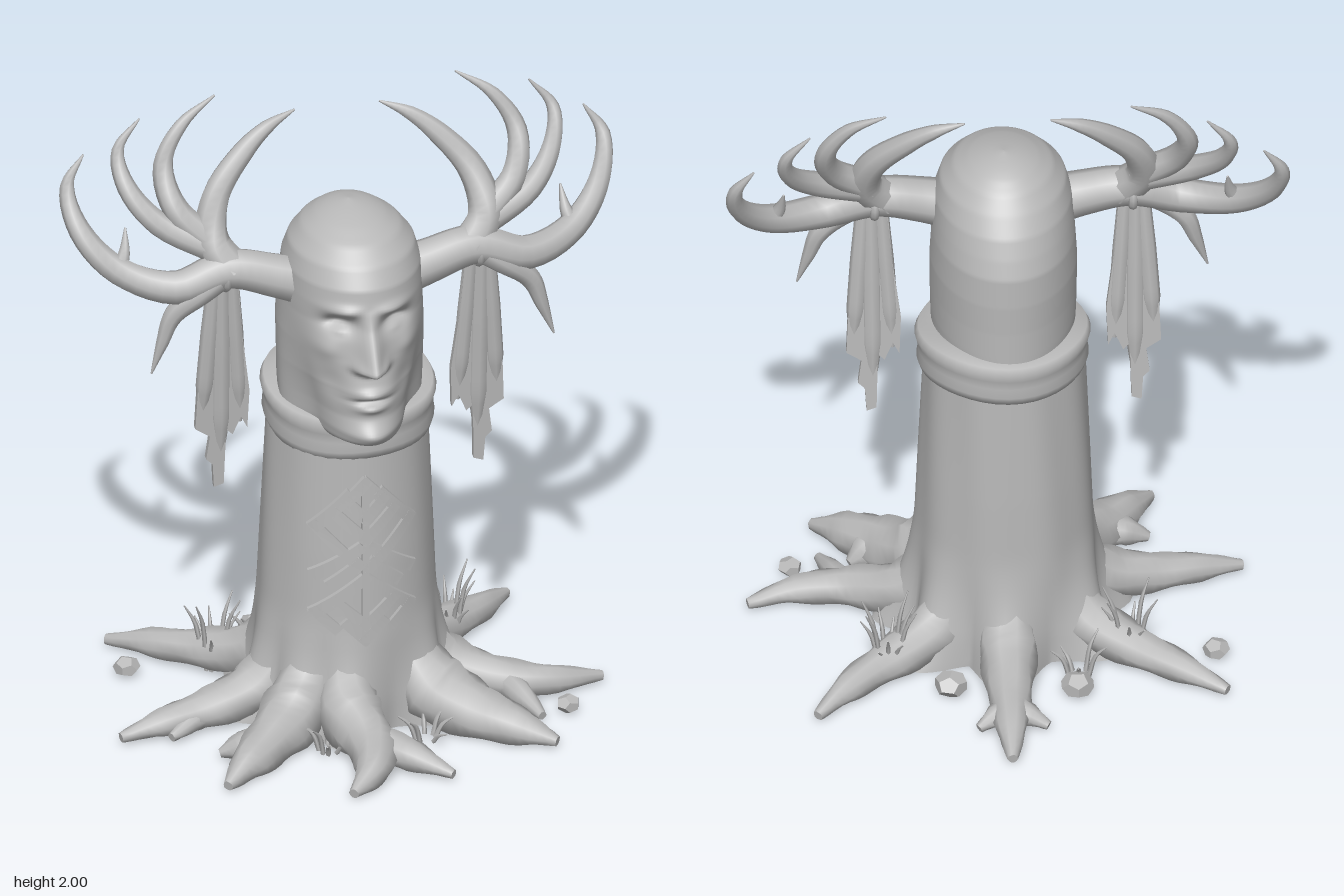
import * as THREE from 'three';

const stone = new THREE.MeshStandardMaterial({ color: 0xb8b8b8 });
stone.name = 'grey stone';

// Skin over a list of closed rings, with both ends capped
function loft(rings) {
  const pos = [], index = [], n = rings[0].length;
  const add = (ring) => { const s = pos.length / 3; ring.forEach((p) => pos.push(p.x, p.y, p.z)); return s; };
  rings.forEach(add);
  for (let i = 0; i < rings.length - 1; i++) {
    for (let j = 0; j < n; j++) {
      const a = i * n + j, b = i * n + (j + 1) % n;
      index.push(a, b, b + n, a, b + n, a + n);
    }
  }
  [rings[0], rings[rings.length - 1]].forEach((ring, end) => {
    const s = add(ring);
    const c = add([ring.reduce((v, p) => v.add(p), new THREE.Vector3()).divideScalar(n)]);
    for (let j = 0; j < n; j++) {
      const k = (j + 1) % n;
      if (end) index.push(s + j, s + k, c); else index.push(s + k, s + j, c);
    }
  });
  const g = new THREE.BufferGeometry();
  g.setAttribute('position', new THREE.Float32BufferAttribute(pos, 3));
  g.setIndex(index);
  g.computeVertexNormals();
  return g;
}

// Limb through points [x, y, z, radius]
function limb(pts, { ref = new THREE.Vector3(0, 0, 1), sides = 8, steps = 5, flat = 1, knob = 0, ground = false } = {}) {
  const curve = new THREE.CatmullRomCurve3(pts.map((p) => new THREE.Vector3(p[0], p[1], p[2])));
  const count = (pts.length - 1) * steps, rings = [];
  for (let i = 0; i <= count; i++) {
    const t = i / count, u = t * (pts.length - 1), k = Math.min(Math.floor(u), pts.length - 2);
    const r = THREE.MathUtils.lerp(pts[k][3], pts[k + 1][3], u - k);
    const c = curve.getPoint(t), T = curve.getTangent(t);
    const N = ref.clone().cross(T).normalize(), B = T.clone().cross(N);
    const ring = [];
    for (let j = 0; j < sides; j++) {
      const a = j / sides * Math.PI * 2, lump = r * (1 + knob * Math.sin(i * 1.1 + j * 2.3 + pts[0][0] * 20));
      const p = c.clone().addScaledVector(N, Math.cos(a) * lump).addScaledVector(B, Math.sin(a) * lump * flat);
      if (ground) p.y = Math.max(0.005, p.y);
      ring.push(p);
    }
    rings.push(ring);
  }
  return loft(rings);
}

// Interpolates rows [y, halfWidth, zFront, zBack]
function section(rows, y) {
  let k = 0;
  while (k < rows.length - 2 && y > rows[k + 1][0]) k++;
  const f = THREE.MathUtils.clamp((y - rows[k][0]) / (rows[k + 1][0] - rows[k][0]), 0, 1);
  return rows[k].map((v, i) => THREE.MathUtils.lerp(v, rows[k + 1][i], f));
}

const trunkRows = [[0, 0.27, 0.29, -0.23], [0.1, 0.272, 0.3, -0.235], [0.32, 0.272, 0.31, -0.235],
  [0.6, 0.26, 0.31, -0.23], [1.05, 0.24, 0.3, -0.215]];
const headRows = [[1, 0.215, 0.3, -0.2], [1.025, 0.216, 0.37, -0.2], [1.045, 0.217, 0.42, -0.2], [1.08, 0.218, 0.43, -0.2],
  [1.13, 0.22, 0.415, -0.2], [1.22, 0.222, 0.42, -0.2], [1.32, 0.222, 0.395, -0.203],
  [1.42, 0.216, 0.38, -0.2], [1.48, 0.212, 0.38, -0.18], [1.54, 0.207, 0.37, -0.155], [1.6, 0.19, 0.335, -0.115],
  [1.65, 0.15, 0.28, -0.075], [1.68, 0.105, 0.215, -0.035], [1.7, 0.058, 0.145, 0.01], [1.71, 0.002, 0.08, 0.07]];

// Main roots: tip x, tip z, thickness, sideways bend
const mainRoots = [[0.03, -0.72, 0.095, 0], [-0.64, -0.42, 0.085, 0], [0.6, -0.46, 0.085, 0.02], [0.77, 0.12, 0.085, 0.05],
  [0.55, 0.51, 0.12, 0.01], [-0.12, 0.71, 0.105, -0.06], [-0.48, 0.58, 0.11, 0], [-0.73, 0.21, 0.085, 0]];

const bump = (x, c, s) => Math.exp(-(((x - c) / s) ** 2));

// Relief of the face, as a forward push at (x, y)
function face(x, y) {
  const ax = Math.abs(x);
  const nose = THREE.MathUtils.clamp((1.48 - y) / 0.17, 0, 1) * THREE.MathUtils.smoothstep(y, 1.265, 1.305);
  return nose * (0.085 * bump(x, 0, 0.026 + 0.012 * nose) + 0.02 * bump(ax, 0.04, 0.016) * bump(y, 1.3, 0.025))
    - 0.045 * bump(ax, 0.085, 0.045) * bump(y, 1.425, 0.026) // eye sockets
    + 0.018 * bump(ax, 0.085, 0.026) * bump(y, 1.41, 0.014) // eyelids
    + 0.016 * bump(ax, 0.075, 0.05) * bump(y, 1.475, 0.018) // brow
    + 0.015 * bump(ax, 0.13, 0.035) * bump(y, 1.345, 0.035) // cheekbones
    - 0.018 * bump(ax, 0.11, 0.035) * bump(y, 1.23, 0.05) // cheek hollows
    + 0.016 * bump(x, 0, 0.045) * (bump(y, 1.212, 0.016) + bump(y, 1.165, 0.014)) // lips
    - 0.018 * bump(x, 0, 0.055) * bump(y, 1.188, 0.007) // mouth line
    + 0.02 * bump(x, 0, 0.06) * bump(y, 1.075, 0.03); // chin
}

// Upright body from rows, with a rule that shifts each point
function body(rows, count, sides, shape) {
  const rings = [];
  for (let i = 0; i <= count; i++) {
    const y = THREE.MathUtils.lerp(rows[0][0], rows[rows.length - 1][0], i / count);
    const [, w, zf, zb] = section(rows, y);
    const ring = [];
    for (let j = 0; j < sides; j++) {
      const a = j / sides * Math.PI * 2;
      const p = new THREE.Vector3(Math.sin(a) * w, y, (zf + zb) / 2 + Math.cos(a) * (zf - zb) / 2);
      shape(p, a);
      ring.push(p);
    }
    rings.push(ring);
  }
  return loft(rings);
}

// Root running down the trunk and out to its tip, bent sideways
function mainRoot([tipX, tipZ, w, bend]) {
  const reach = Math.hypot(tipX, tipZ - 0.04), dx = tipX / reach, dz = (tipZ - 0.04) / reach;
  const at = (r, y, radius, side = 0) => [dx * r - dz * side, y, 0.04 + dz * r + dx * side, radius];
  const out = (f) => THREE.MathUtils.lerp(0.3, reach, f);
  return [at(0.18, 0.24, 0.07), at(0.3, 0.1, w * 0.95), at(out(0.35), 0.055, w * 0.75, bend),
    at(out(0.7), 0.04, w * 0.52, bend), at(reach, 0.02, 0.016)];
}

// Side branch of a root
const forkRoot = (x, z, tipX, tipZ, w) =>
  [[x, 0.05, z, w], [(x + tipX) / 2, 0.04, (z + tipZ) / 2, w * 0.75], [tipX, 0.02, tipZ, 0.014]];

// Antler tine through points [x, y]: leans back as it rises, tapers to its tip
function tine(side, radius, pts) {
  return limb(pts.map(([x, y], i) => {
    const rise = y - 1.5, lean = rise > 0 ? 0.5 : 0.18;
    return [side * x, y, 0.13 - lean * rise - Math.max(0, x - 0.5) * 0.4, 0.003 + radius * (1 - i / (pts.length - 1)) ** 0.7];
  }));
}

export function createModel() {
  const model = new THREE.Group();
  const part = (name, geometry, parent = model) => {
    const m = new THREE.Mesh(geometry, stone);
    m.name = name;
    parent.add(m);
    return m;
  };
  const group = (name) => { const g = new THREE.Group(); g.name = name; model.add(g); return g; };

  // Trunk with bark ridges, flaring into each root
  const rootAngles = mainRoots.map(([x, z]) => Math.atan2(x, z - 0.04));
  part('trunk', body(trunkRows, 40, 96, (p, a) => {
    const lobe = rootAngles.reduce((m, r) => Math.max(m, bump(Math.acos(THREE.MathUtils.clamp(Math.cos(a - r), -1, 1)), 0, 0.3)), 0);
    const k = 1 + 0.012 * Math.sin(9 * a + 2 * p.y) * (1 - Math.max(0, Math.cos(a)))
      + 0.48 * lobe * Math.max(0, 1 - p.y / 0.42) ** 2;
    p.x *= k;
    p.z = 0.04 + (p.z - 0.04) * k;
  }));

  // Head with face, narrowing to the jaw
  part('head', body(headRows, 100, 110, (p, a) => {
    const front = Math.cos(a), jaw = 1 - THREE.MathUtils.smoothstep(p.y, 1, 1.46);
    p.x *= 1 - 0.33 * jaw * THREE.MathUtils.smoothstep(p.z, 0.1, 0.27);
    if (front > 0) p.z += face(p.x, p.y) * Math.min(1, front * 2.5);
  }));

  // Tilted collar around the neck
  const collar = [[-0.03, 0.955], [0.006, 0.958], [0.015, 0.985], [0.01, 1.015], [0.014, 1.045], [0.021, 1.07], [0.01, 1.092], [-0.04, 1.094]];
  part('collar', loft(collar.map(([d, y]) => Array.from({ length: 40 }, (_, j) => {
    const a = j / 40 * Math.PI * 2;
    return new THREE.Vector3(0.006 + Math.sin(a) * (0.245 + d), y - 0.025 * Math.cos(a) + 0.006 * Math.sin(3 * a + 1), 0.04 + Math.cos(a) * (0.257 + d));
  }))));

  // Carved lattice bent onto the trunk front
  const carving = group('carving');
  const bar = (x1, y1, x2, y2, w = 0.035) => {
    const g = new THREE.BoxGeometry(Math.hypot(x2 - x1, y2 - y1) + w * 0.8, w, 0.03, 8, 1, 1);
    g.rotateZ(Math.atan2(y2 - y1, x2 - x1));
    g.translate((x1 + x2) / 2, (y1 + y2) / 2, 0);
    const p = g.attributes.position;
    for (let i = 0; i < p.count; i++) {
      const [, hw, zf, zb] = section(trunkRows, p.getY(i));
      p.setZ(i, p.getZ(i) + (zf + zb) / 2 + (zf - zb) / 2 * Math.sqrt(1 - (p.getX(i) / hw) ** 2));
    }
    g.computeVertexNormals();
    part('carvedBar', g, carving);
  };
  bar(0, 0.33, 0, 0.86, 0.022);
  for (const s of [-1, 1]) {
    bar(0, 0.86, s * 0.055, 0.8);
    bar(s * 0.055, 0.8, 0, 0.74);
    bar(s * 0.05, 0.82, s * 0.145, 0.71);
    bar(s * 0.145, 0.71, s * 0.02, 0.58);
    bar(0, 0.67, s * 0.09, 0.76);
    bar(s * 0.02, 0.64, s * 0.145, 0.55);
    bar(s * 0.1, 0.52, s * 0.02, 0.59);
    bar(0, 0.54, s * 0.145, 0.42);
    bar(s * 0.145, 0.42, s * 0.09, 0.37);
    bar(s * 0.09, 0.46, 0, 0.38);
    bar(0, 0.33, s * 0.055, 0.385);
  }

  // Roots spreading over the ground
  const roots = group('roots');
  const addRoot = (pts) => part('root', limb(pts, { ref: new THREE.Vector3(0, 1, 0), sides: 10, knob: 0.08, ground: true }), roots);
  mainRoots.forEach((r) => addRoot(mainRoot(r)));
  addRoot(forkRoot(0.02, -0.5, 0.12, -0.56, 0.045));
  addRoot(forkRoot(0.02, -0.5, -0.09, -0.56, 0.045));
  addRoot(forkRoot(0.46, 0.12, 0.54, 0.34, 0.05));
  addRoot(forkRoot(0.36, 0.35, 0.45, 0.3, 0.07));
  addRoot(forkRoot(0, 0.46, 0.2, 0.65, 0.065));
  addRoot(forkRoot(-0.33, 0.38, -0.46, 0.37, 0.06));
  addRoot(forkRoot(-0.42, 0.13, -0.58, 0.24, 0.045));

  // Antlers and hanging cloth on each side
  const outline = [[0.35, 1.5], [0.335, 1.3], [0.31, 1.1], [0.315, 0.97], [0.335, 1.01], [0.36, 0.95], [0.38, 0.97], [0.385, 0.78],
    [0.415, 0.77], [0.42, 0.85], [0.44, 0.87], [0.43, 0.95], [0.475, 0.98], [0.47, 1.1], [0.445, 1.25], [0.43, 1.5]];
  for (const s of [1, -1]) {
    const antler = group(s > 0 ? 'leftAntler' : 'rightAntler');
    part('beam', tine(s, 0.075, [[0.14, 1.47], [0.24, 1.5], [0.38, 1.53], [0.54, 1.485], [0.7, 1.52], [0.8, 1.62], [0.825, 1.74], [0.77, 1.83]]), antler);
    part('innerTine', tine(s, 0.058, [[0.36, 1.52], [0.42, 1.61], [0.395, 1.73], [0.3, 1.84], [0.22, 1.9], [0.13, 1.94]]), antler);
    part('topTine', tine(s, 0.045, [[0.41, 1.6], [0.52, 1.7], [0.545, 1.82], [0.48, 1.93], [0.37, 2]]), antler);
    part('outerTine', tine(s, 0.043, [[0.4, 1.58], [0.57, 1.655], [0.655, 1.75], [0.67, 1.85], [0.6, 1.94]]), antler);
    part('barb', tine(s, 0.025, [[0.7, 1.52], [0.68, 1.57], [0.67, 1.64]]), antler);
    part('lowerTine', tine(s, 0.046, [[0.38, 1.53], [0.47, 1.47], [0.55, 1.4], [0.585, 1.31], [0.62, 1.21]]), antler);
    const knot = part('clothKnot', new THREE.TorusGeometry(0.05, 0.014, 8, 16), antler);
    knot.position.set(s * 0.39, 1.52, 0.11);
    knot.rotation.y = Math.PI / 2;

    // Ragged cloth sheet, hanging slightly backwards
    const cloth = group(s > 0 ? 'leftCloth' : 'rightCloth');
    const sheet = new THREE.ExtrudeGeometry(new THREE.Shape(outline.map(([x, y]) => new THREE.Vector2(s * x, y))), { depth: 0.022, bevelEnabled: false });
    sheet.translate(0, -1.52, -0.011).rotateX(0.065).translate(0, 1.52, 0.115);
    part('clothSheet', sheet, cloth);

    // Folds: top x, bottom x, bottom y, width
    [[0.37, 0.335, 0.99, 0.026], [0.4, 0.395, 0.84, 0.03], [0.42, 0.455, 1, 0.028]].forEach(([x0, x1, y1, w]) => {
      const at = (f, r) => [s * THREE.MathUtils.lerp(x0, x1, f), THREE.MathUtils.lerp(1.52, y1, f), 0.115 - f * (1.52 - y1) * 0.065, r];
      part('clothFold', limb([at(0, w * 0.8), at(0.4, w), at(0.75, w), at(1, 0.006)], { flat: 0.8 }), cloth);
    });
  }

  // Loose rocks
  [[-0.19, -0.38, 0.052], [0.19, -0.35, 0.052], [-0.62, -0.22, 0.042], [0.63, 0.29, 0.038]].forEach(([x, z, r], i) => {
    const rock = part('rock', new THREE.DodecahedronGeometry(r));
    rock.scale.y = 0.75;
    rock.position.set(x, r * 0.7, z);
    rock.rotation.y = i * 1.3;
  });

  // Grass tufts between the roots: x, z, height, blades
  const grass = group('grass');
  [[-0.36, -0.2, 0.25, 9], [0.37, -0.23, 0.26, 12], [-0.2, -0.3, 0.14, 5], [-0.13, 0.4, 0.11, 7], [0.17, 0.39, 0.1, 6]].forEach(([x, z, h, n]) => {
    for (let i = 0; i < n; i++) {
      const dx = Math.cos(i * 2.4), dz = Math.sin(i * 2.4), top = h * (0.75 + 0.25 * Math.sin(i * 1.7));
      const at = (out, y, r) => [x + dx * out, y, z + dz * out, r];
      part('blade', limb([at(0.03, 0.01, 0.008), at(0.05, top * 0.7, 0.007), at(0.085, top, 0.002)], { sides: 4, steps: 3 }), grass);
    }
  });

  return model;
}
